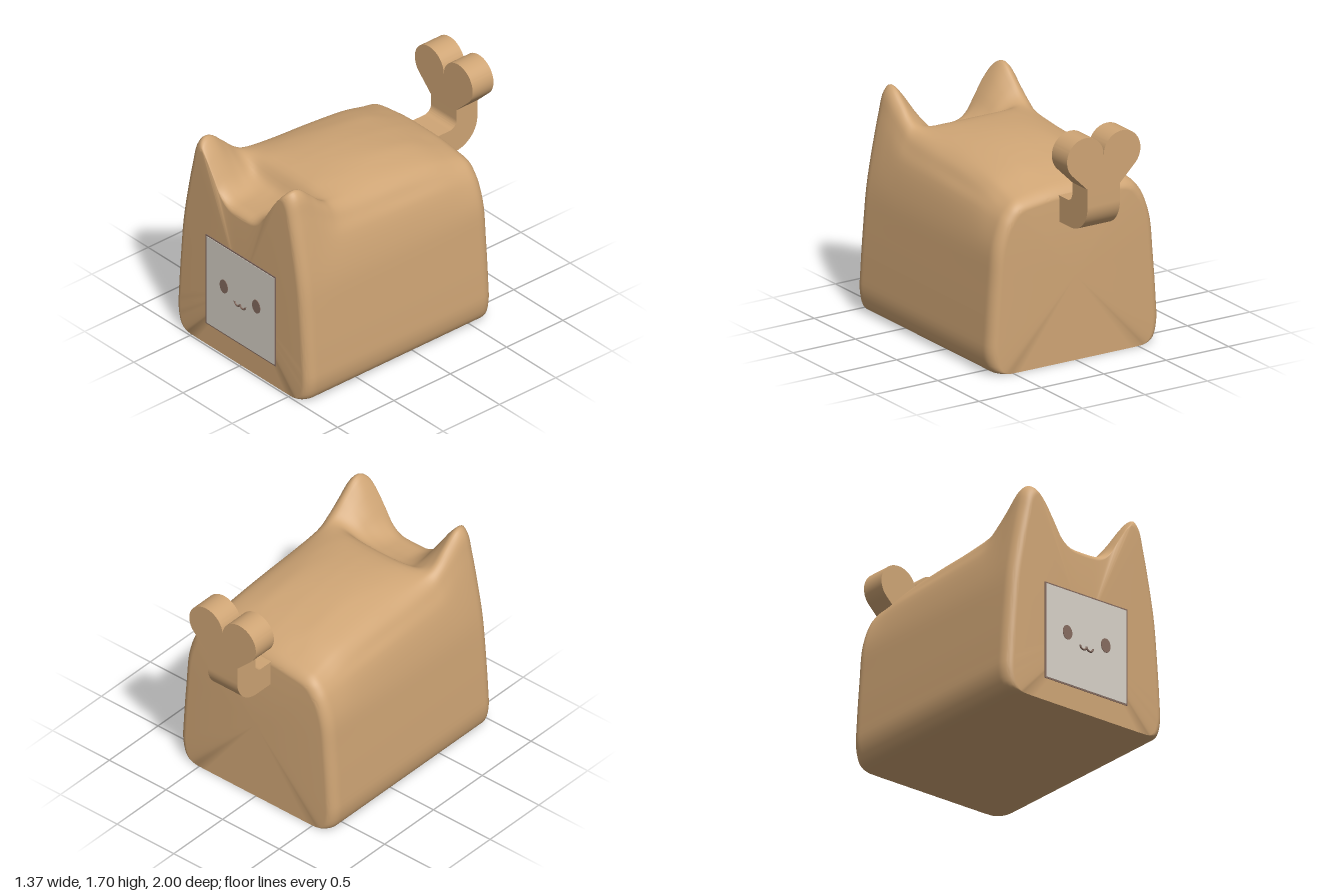
import * as THREE from 'three';
import { toCreasedNormals } from 'three/addons/utils/BufferGeometryUtils.js';

const mat = (name, color) => {
  const m = new THREE.MeshStandardMaterial({ color });
  m.name = name;
  return m;
};

// Body: cross-sections swept from front (ears) to back, with rounded end edges
const Z_FRONT = 0.985, Z_BACK = -0.66;
const LOWER = [[0, 0], [0.57, 0], [0.645, 0.03], [0.68, 0.14], [0.676, 0.3], [0.65, 0.65], [0.625, 0.9]];
const TOP_X = [0.57, 0.528, 0.49, 0.445, 0.39, 0.3, 0.22, 0.13, 0];
// [z, height at each TOP_X]
const SECTIONS = [
  [Z_FRONT, 1.2, 1.39, 1.53, 1.575, 1.53, 1.4, 1.28, 1.22, 1.21],
  [0.87, 1.2, 1.39, 1.53, 1.57, 1.52, 1.39, 1.28, 1.22, 1.21],
  [0.76, 1.17, 1.33, 1.44, 1.48, 1.44, 1.35, 1.27, 1.23, 1.22],
  [0.66, 1.15, 1.27, 1.36, 1.39, 1.37, 1.32, 1.28, 1.26, 1.25],
  [0.55, 1.14, 1.23, 1.3, 1.34, 1.355, 1.365, 1.37, 1.37, 1.37],
  [0.3, 1.13, 1.21, 1.27, 1.31, 1.34, 1.37, 1.385, 1.395, 1.4],
  [0, 1.12, 1.19, 1.25, 1.29, 1.32, 1.35, 1.37, 1.38, 1.385],
  [-0.3, 1.1, 1.17, 1.22, 1.26, 1.285, 1.31, 1.325, 1.33, 1.335],
  [-0.5, 1.07, 1.14, 1.18, 1.215, 1.235, 1.255, 1.265, 1.275, 1.28],
  [Z_BACK, 1.06, 1.12, 1.16, 1.18, 1.19, 1.2, 1.21, 1.215, 1.215],
];

function bodyGeometry() {
  const RINGS = 64, HALF = 56, R = 0.085, count = HALF * 2;
  const rails = TOP_X.map((x, i) => new THREE.CatmullRomCurve3(
    SECTIONS.map((s) => new THREE.Vector3(x, s[i + 1], s[0])), false, 'catmullrom', 0.5));
  const pos = [], index = [];
  for (let r = 0; r <= RINGS; r++) {
    const t = (1 - Math.cos((Math.PI * r) / RINGS)) / 2;
    const top = rails.map((c) => c.getPoint(t));
    const z = top[0].z;
    const d = Math.max(0, Math.min(Z_FRONT - z, z - Z_BACK));
    const k = d < R ? 1 - Math.sqrt(1 - (1 - d / R) ** 2) : 0;
    const outline = new THREE.CatmullRomCurve3(
      [...LOWER.map(([x, y]) => new THREE.Vector3(x, y, 0)), ...top.map((p) => new THREE.Vector3(p.x, p.y, 0))],
      false, 'centripetal').getPoints(HALF);
    for (let j = 0; j < count; j++) {
      const p = outline[j <= HALF ? j : count - j];
      const side = j <= HALF ? 1 : -1;
      pos.push(side * p.x * (1 - 0.1 * k), Math.max(0, p.y) * (1 - 0.045 * k), z);
    }
  }
  const front = pos.length / 3, back = front + 1;
  pos.push(0, 0.6, Z_FRONT, 0, 0.6, Z_BACK);
  for (let j = 0; j < count; j++) {
    const n = (j + 1) % count, last = RINGS * count;
    for (let r = 0; r < RINGS; r++) {
      const a = r * count + j, b = r * count + n;
      index.push(a, a + count, b, b, a + count, b + count);
    }
    index.push(front, j, n, back, last + n, last + j);
  }
  const g = new THREE.BufferGeometry();
  g.setAttribute('position', new THREE.Float32BufferAttribute(pos, 3));
  g.setIndex(index);
  return toCreasedNormals(g, 0.8);
}

// Tail stem: side profile (distance behind centre, height) pulled across x
function stemGeometry() {
  const s = new THREE.Shape();
  s.moveTo(0.58, 1.005);
  s.lineTo(0.8, 1.005);
  s.absarc(0.8, 1.205, 0.2, -Math.PI / 2, 0, false);
  s.lineTo(1, 1.33);
  s.lineTo(0.815, 1.33);
  s.lineTo(0.815, 1.25);
  s.absarc(0.755, 1.25, 0.06, 0, -Math.PI / 2, true);
  s.lineTo(0.58, 1.19);
  const g = new THREE.ExtrudeGeometry(s, { depth: 0.26, bevelEnabled: false, curveSegments: 16 });
  g.rotateY(Math.PI / 2).translate(-0.13, 0, 0);
  return toCreasedNormals(g, 0.6);
}

// Heart-shaped tail tip
function heartGeometry() {
  const r = 0.147, y = 1.553, s = new THREE.Shape();
  s.moveTo(-0.13, 1.33);
  s.lineTo(0.13, 1.33);
  s.absarc(r, y, r, -Math.PI / 4, Math.PI, false);
  s.absarc(-r, y, r, 0, Math.PI * 1.25, false);
  const g = new THREE.ExtrudeGeometry(s, { depth: 0.185, bevelEnabled: false, curveSegments: 28 });
  g.translate(0, 0, -1);
  return toCreasedNormals(g, 0.6);
}

export function createModel() {
  const model = new THREE.Group();
  model.name = 'catBox';
  const tan = mat('tan', 0xcfa575);
  const brown = mat('brown', 0x866c60);
  const pale = mat('pale grey', 0xd8d2c8);

  const add = (name, geometry, material, x = 0, y = 0, z = 0) => {
    const m = new THREE.Mesh(geometry, material);
    m.name = name;
    m.position.set(x, y, z);
    model.add(m);
    return m;
  };

  add('body', bodyGeometry(), tan);
  add('tailStem', stemGeometry(), tan);
  add('tailHeart', heartGeometry(), tan);

  // Face panel with a thin border
  add('panelBorder', new THREE.BoxGeometry(0.71, 0.71, 0.006), brown, 0, 0.52, 0.986);
  add('facePanel', new THREE.BoxGeometry(0.688, 0.688, 0.008), pale, 0, 0.52, 0.988);

  // Eyes and the two curves of the mouth
  for (const side of [1, -1]) {
    const eye = add(side > 0 ? 'leftEye' : 'rightEye',
      new THREE.CylinderGeometry(0.04, 0.04, 0.006, 32).rotateX(Math.PI / 2), brown, side * 0.165, 0.552, 0.993);
    eye.scale.y = 1.3;
    add(side > 0 ? 'leftMouthCurve' : 'rightMouthCurve',
      new THREE.TorusGeometry(0.027, 0.007, 8, 20, Math.PI).rotateZ(Math.PI), brown, side * 0.028, 0.493, 0.993);
  }
  return model;
}
